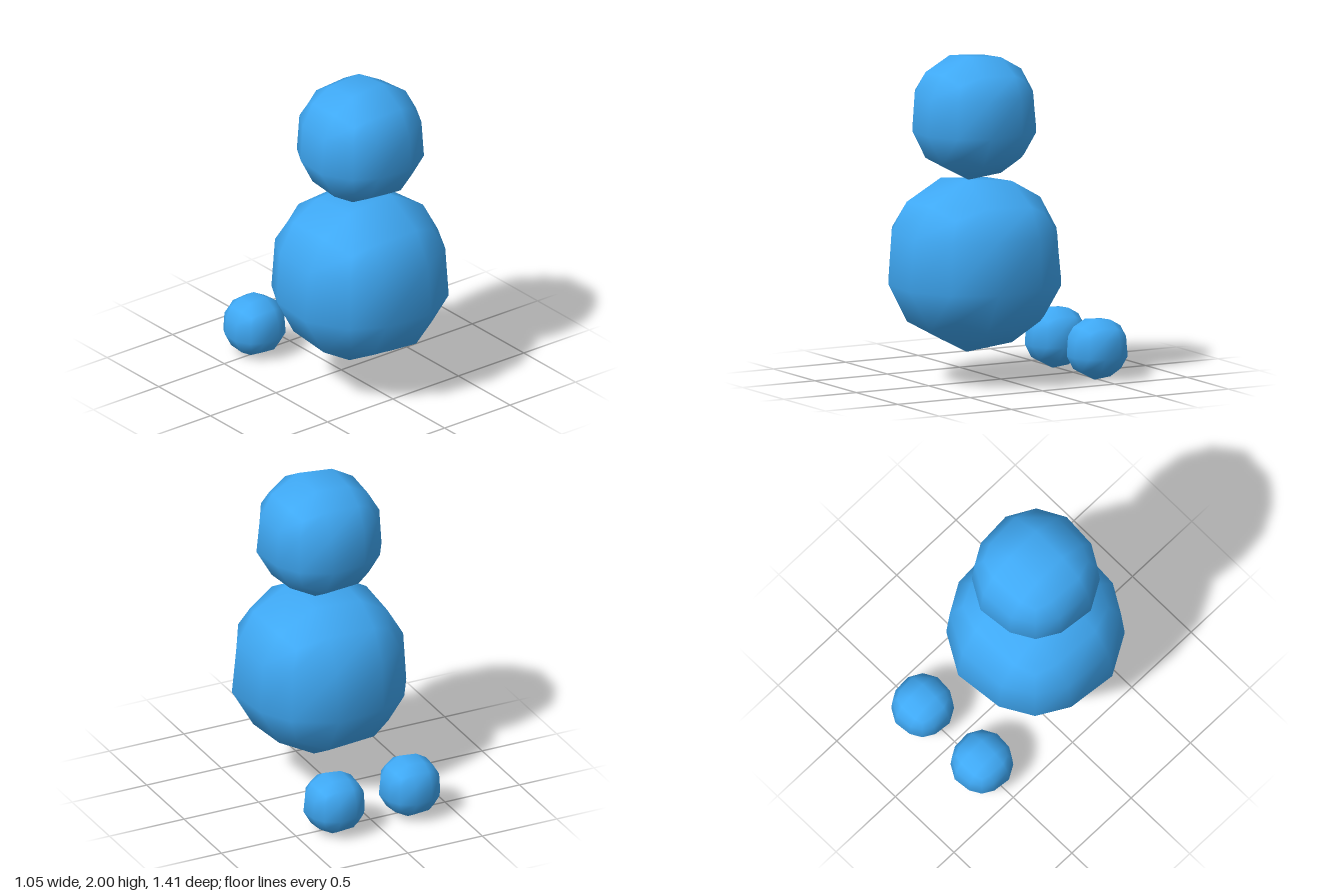
import * as THREE from 'three';
import { mergeVertices } from 'three/addons/utils/BufferGeometryUtils.js';

// Low-poly ball: a 3x3x3 box rounded by rule, with its grid lines slightly off centre.
// Unit size: extends 1 along every axis.
function ballGeometry() {
  const FACE = [1, 0.937, 0.897]; // height of a face point, by its count of "low" coordinates
  const EDGE = [0.724, 0.695]; // reach of an edge point, likewise
  const CORNER = 0.59;
  const HIGH = 0.248, LOW = -0.352;

  const box = new THREE.BoxGeometry(2, 2, 2, 3, 3, 3);
  box.deleteAttribute('uv');
  box.deleteAttribute('normal');
  const geometry = mergeVertices(box, 1e-3);
  const pos = geometry.attributes.position;
  const flip = [1, -1, 1]; // the grid offset points down in y
  for (let i = 0; i < pos.count; i++) {
    const c = [pos.getX(i), pos.getY(i), pos.getZ(i)].map((v, k) => v * flip[k]);
    const outer = c.filter((v) => Math.abs(v) > 0.9).length;
    const low = c.filter((v) => Math.abs(v) < 0.9 && v < 0).length;
    const reach = outer === 3 ? CORNER : outer === 2 ? EDGE[low] : FACE[low];
    const p = c.map((v, k) => {
      const value = Math.abs(v) > 0.9 ? Math.sign(v) * reach : v > 0 ? HIGH : LOW;
      return value * flip[k];
    });
    pos.setXYZ(i, p[0], p[1], p[2]);
  }
  geometry.computeVertexNormals();
  return geometry;
}

export function createModel() {
  const group = new THREE.Group();
  const geometry = ballGeometry();
  const material = new THREE.MeshStandardMaterial({ color: 0x3fa9f5 });

  function addBall(name, radius, x, y, z) {
    const mesh = new THREE.Mesh(geometry, material);
    mesh.name = name;
    mesh.scale.setScalar(radius);
    mesh.position.set(x, y, z);
    group.add(mesh);
  }

  addBall('body', 0.523, 0, 0.735, 0.182);
  addBall('head', 0.375, 0, 1.625, 0.185);
  // Feet, set behind the body
  for (const side of [1, -1]) {
    addBall(side > 0 ? 'leftFoot' : 'rightFoot', 0.184, side * 0.253, 0.186, -0.52);
  }
  return group;
}
